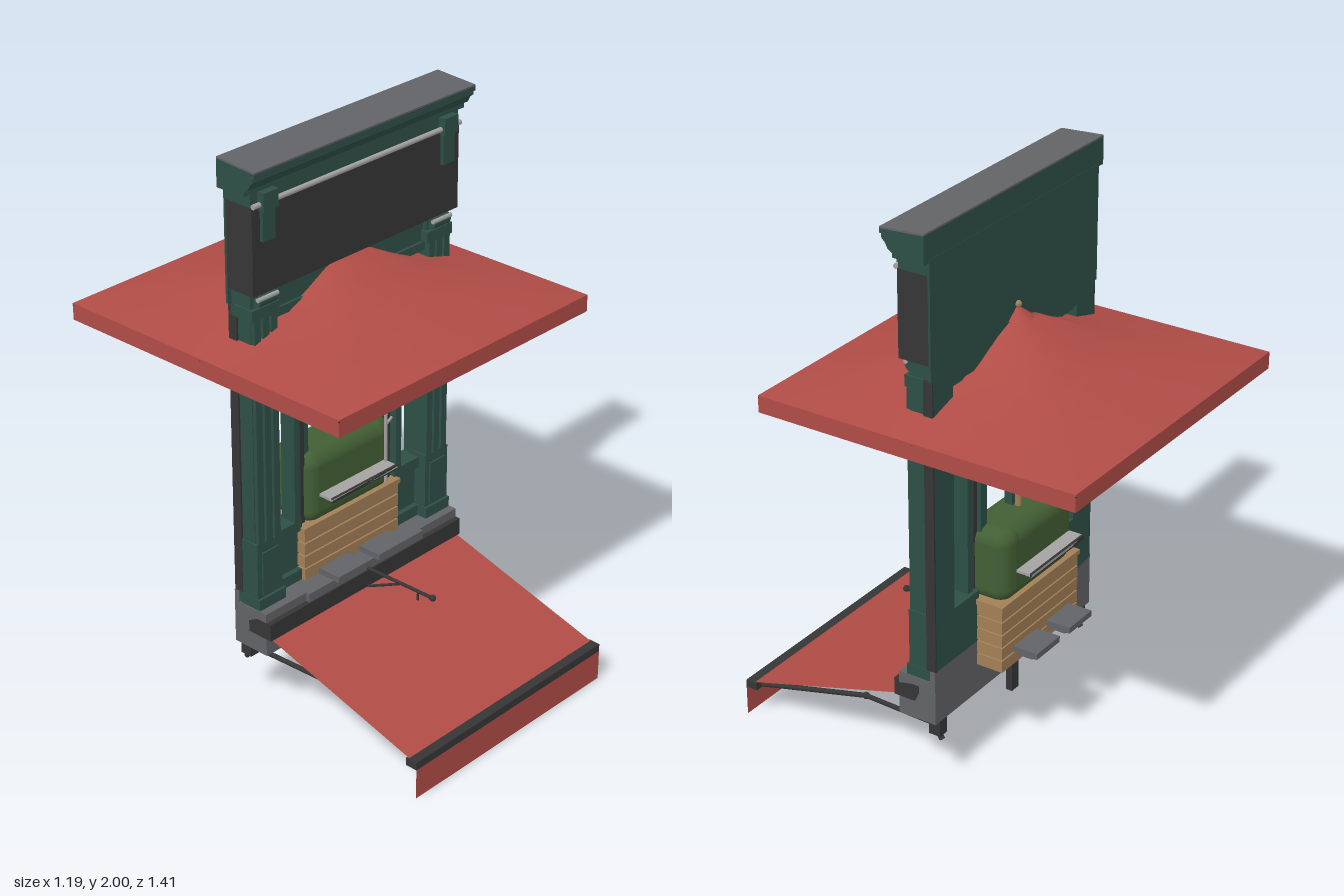
import * as THREE from 'three';
import { RoundedBoxGeometry } from 'three/addons/geometries/RoundedBoxGeometry.js';

const mat = (name, color, side = THREE.FrontSide) => {
  const m = new THREE.MeshStandardMaterial({ color, side });
  m.name = name;
  return m;
};

export function createModel() {
  const green = mat('painted green', 0x2e5046);
  const red = mat('red canvas', 0xb04c46, THREE.DoubleSide);
  const dark = mat('dark metal', 0x363636);
  const grey = mat('stone grey', 0x626366);
  const tan = mat('wood', 0xa27f57);
  const moss = mat('moss green', 0x425f34);
  const light = mat('pale metal', 0xa5a2a2);

  const model = new THREE.Group();
  const CZ = -0.11; // depth of the umbrella pole
  const V = (x, y, z) => new THREE.Vector3(x, y, z);

  const add = (name, geo, m, parent = model) => {
    const mesh = new THREE.Mesh(geo, m);
    mesh.name = name;
    parent.add(mesh);
    return mesh;
  };
  // box from its limits
  const box = (name, m, x0, x1, y0, y1, z0, z1) => {
    const g = new THREE.BoxGeometry(x1 - x0, y1 - y0, z1 - z0);
    g.translate((x0 + x1) / 2, (y0 + y1) / 2, (z0 + z1) / 2);
    return add(name, g, m);
  };
  const pair = (name, m, x0, x1, ...r) => {
    box(name + 'Left', m, x0, x1, ...r);
    box(name + 'Right', m, -x1, -x0, ...r);
  };
  // round bar between two points
  const bar = (name, m, a, b, r, sides = 8) => {
    const mesh = add(name, new THREE.CylinderGeometry(r, r, a.distanceTo(b), sides), m);
    mesh.position.copy(a).add(b).multiplyScalar(0.5);
    mesh.quaternion.setFromUnitVectors(V(0, 1, 0), b.clone().sub(a).normalize());
    return mesh;
  };

  // base
  box('base', grey, -0.475, 0.475, 0.25, 0.41, -0.105, 0.04);
  box('baseBack', grey, -0.475, 0.475, 0.41, 0.45, -0.105, -0.085);
  pair('baseFoot', dark, 0.41, 0.45, 0.19, 0.25, -0.105, -0.06);
  box('middleFoot', dark, -0.02, 0.02, 0.14, 0.25, -0.105, -0.08);

  // lower wall panels
  pair('lowerWall', green, 0.22, 0.47, 0.41, 0.64, -0.105, -0.05);
  pair('wallRail', green, 0.23, 0.36, 0.6, 0.64, -0.05, -0.03);
  pair('wallSkirt', green, 0.23, 0.36, 0.41, 0.45, -0.05, -0.03);

  // side columns with fluted fronts, pedestals and scroll capitals
  pair('column', green, 0.36, 0.465, 0.41, 1.555, -0.075, -0.015);
  pair('columnBack', green, 0.36, 0.465, 0.45, 1.555, -0.105, -0.075);
  pair('columnEdge', dark, 0.465, 0.472, 0.45, 1.5, -0.105, -0.07);
  for (const x of [0.36, 0.397, 0.435])
    pair('columnFillet', green, x, x + 0.027, 0.65, 1.46, -0.015, 0);
  pair('pedestal', green, 0.355, 0.47, 0.41, 0.655, -0.08, 0);
  pair('pedestalPanel', green, 0.375, 0.45, 0.46, 0.62, 0, 0.006);
  pair('pedestalFoot', green, 0.35, 0.472, 0.41, 0.45, -0.08, 0.01);
  pair('capital', green, 0.35, 0.472, 1.46, 1.5, -0.105, 0);
  for (const s of [-1, 1]) {
    bar('scroll', green, V(s * 0.37, 1.525, -0.01), V(s * 0.45, 1.525, -0.01), 0.024, 16);
    bar('scrollPin', light, V(s * 0.365, 1.535, 0.008), V(s * 0.455, 1.535, 0.008), 0.008);
  }

  // lintel and window frame
  box('lintel', green, -0.465, 0.465, 1.45, 1.555, -0.105, -0.03);
  box('lintelMoulding', green, -0.36, 0.36, 1.43, 1.46, -0.09, -0.02);
  pair('windowPost', green, 0.235, 0.262, 0.6, 1.46, -0.09, -0.03);
  pair('windowGuide', dark, 0.2, 0.22, 0.6, 1.46, -0.085, -0.045);
  pair('doorPost', green, 0.165, 0.2, 0.6, 1.46, -0.1, -0.06);
  box('doorHead', green, -0.2, 0.2, 1.38, 1.43, -0.1, -0.06);
  box('mullion', green, -0.016, 0.016, 0.84, 1.46, -0.1, -0.07);

  // fascia box, backing wall and cornice
  box('fascia', dark, -0.48, 0.48, 1.555, 1.855, -0.098, 0.015);
  box('backWall', green, -0.48, 0.48, 1.5, 1.91, -0.106, -0.097);
  box('frieze', green, -0.48, 0.48, 1.855, 1.91, -0.1, 0.01);
  bar('lightStrip', light, V(-0.48, 1.86, 0.02), V(0.48, 1.86, 0.02), 0.009);
  pair('corniceBracket', green, 0.385, 0.45, 1.84, 1.9, 0, 0.038);
  pair('corniceBracketDrop', green, 0.39, 0.445, 1.735, 1.84, 0, 0.028);
  const profile = new THREE.Shape([
    [-0.105, 1.9], [0.012, 1.9], [0.012, 1.915], [0.028, 1.925], [0.038, 1.945],
    [0.05, 1.955], [0.05, 1.97], [0.058, 1.97], [0.058, 1.985], [-0.105, 1.995],
  ].map(p => new THREE.Vector2(-p[0], p[1])));
  const cornice = new THREE.ExtrudeGeometry(profile, { depth: 1.016, bevelEnabled: false });
  cornice.translate(0, 0, -0.508).rotateY(Math.PI / 2);
  add('cornice', cornice, green);
  const cap = box('roofCap', grey, -0.508, 0.508, -0.003, 0.003, -0.0815, 0.0815);
  cap.position.set(0, 1.993, -0.0235);
  cap.rotation.x = Math.atan(0.01 / 0.163);

  // square umbrella: concentric rings, then a hanging valance
  const rings = [[0, 1.55], [0.05, 1.54], [0.11, 1.518], [0.2, 1.47], [0.3, 1.425], [0.45, 1.382], [0.595, 1.345]];
  const square = [[1, 0], [1, 1], [0, 1], [-1, 1], [-1, 0], [-1, -1], [0, -1], [1, -1]];
  const loft = loops => {
    const pos = [], idx = [];
    loops.forEach(([d, y]) => square.forEach(([x, z]) => pos.push(x * d, y, z * d)));
    for (let i = 0; i < loops.length - 1; i++)
      for (let j = 0; j < 8; j++) {
        const a = i * 8 + j, b = i * 8 + (j + 1) % 8;
        // the diagonal of each quad starts on the corner rib
        if (j % 2) idx.push(a, b, a + 8, b, b + 8, a + 8);
        else idx.push(a, b, b + 8, a, b + 8, a + 8);
      }
    const g = new THREE.BufferGeometry();
    g.setAttribute('position', new THREE.Float32BufferAttribute(pos, 3));
    for (let k = 0; k < idx.length; k += 3) [idx[k + 1], idx[k + 2]] = [idx[k + 2], idx[k + 1]];
    g.setIndex(idx);
    g.computeVertexNormals();
    return g;
  };
  // outward winding: rings run from x towards z, so faces are flipped inside loft
  const flip = g => {
    const a = g.index.array;
    for (let k = 0; k < a.length; k += 3) [a[k + 1], a[k + 2]] = [a[k + 2], a[k + 1]];
    g.computeVertexNormals();
    return g;
  };
  add('canopy', flip(loft(rings)), red).position.z = CZ;
  const valance = flip(loft([[0.595, 1.345], [0.595, 1.285]])).toNonIndexed();
  valance.computeVertexNormals();
  add('canopyValance', valance, red).position.z = CZ;
  add('canopyCap', new THREE.ConeGeometry(0.052, 0.04, 24), red).position.set(0, 1.565, CZ);
  add('finial', new THREE.SphereGeometry(0.012, 12, 8), tan).position.set(0, 1.59, CZ);
  bar('umbrellaPole', tan, V(0, 0.84, CZ - 0.004), V(0, 1.55, CZ - 0.004), 0.012, 12);
  bar('runner', tan, V(0, 1.185, CZ), V(0, 1.235, CZ), 0.018, 12);
  for (const [x, z] of square) {
    const at = ([d, y]) => V(x * d, y - 0.008, z * d + CZ);
    for (let i = 1; i < rings.length - 1; i++) bar('rib', dark, at(rings[i]), at(rings[i + 1]), 0.003, 5);
    bar('strut', dark, V(0, 1.21, CZ), at([0.27, 1.42]), 0.003, 5);
  }

  // slatted crate holding the rounded chest
  box('crate', tan, -0.225, 0.225, 0.36, 0.6, -0.198, -0.022);
  for (let i = 0; i < 5; i++) {
    const y = 0.36 + i * 0.049;
    box('crateSlat', tan, -0.232, 0.232, y, y + 0.043, -0.205, -0.015);
  }
  box('crateRim', tan, -0.238, 0.238, 0.595, 0.612, -0.21, -0.01);
  add('chest', new RoundedBoxGeometry(0.425, 0.27, 0.19, 5, 0.055), moss).position.set(0.002, 0.73, CZ);
  add('chestRidge', new RoundedBoxGeometry(0.1, 0.264, 0.194, 4, 0.05), moss).position.set(0.15, 0.733, CZ);

  // trays and step slabs on both faces
  for (const s of [1, -1]) {
    const span = (a, b) => [CZ + Math.min(s * a, s * b), CZ + Math.max(s * a, s * b)];
    box('tray', light, -0.165, 0.155, 0.71, 0.72, ...span(0.1, 0.16));
    box('trayLip', dark, -0.165, 0.155, 0.705, 0.722, ...span(0.152, 0.16));
    for (const x of [-0.1, 0.1]) {
      const slab = box('stepSlab', grey, x - 0.07, x + 0.07, 0.412, 0.434, ...span(0.1, 0.192));
      slab.name = 'stepSlab';
      box('slabSupport', grey, x - 0.04, x + 0.04, 0.385, 0.412, ...span(0.09, 0.155));
    }
  }
  box('frontStep', grey, -0.285, 0.285, 0.375, 0.41, 0.04, 0.055);

  // pale hanging rod
  bar('rod', light, V(0.15, 0.64, 0), V(0.15, 1.24, 0), 0.006);
  bar('rodHook', light, V(0.15, 0.86, 0), V(0.2, 0.86, -0.02), 0.005);

  // lower awning: case, sloping cloth, front bar and valance
  box('awningCase', dark, -0.475, 0.475, 0.315, 0.378, -0.04, 0.06);
  const cloth = new THREE.PlaneGeometry(0.93, Math.hypot(0.62, 0.18));
  const sheet = add('awningCloth', cloth, red);
  sheet.position.set(0, 0.225, 0.365);
  sheet.rotation.x = -Math.PI / 2 + Math.atan2(0.18, 0.62);
  box('awningBar', dark, -0.47, 0.47, 0.11, 0.138, 0.655, 0.7);
  const drop = add('awningValance', new THREE.PlaneGeometry(0.94, 0.12), red);
  drop.position.set(0, 0.06, 0.7);

  // folding arms
  for (const s of [1, -1]) {
    const a = V(s * 0.43, 0.22, -0.07), b = V(s * 0.34, 0.155, 0.28), c = V(s * 0.44, 0.12, 0.66);
    bar('innerArm', dark, a, b, 0.009);
    bar('outerArm', dark, b, c, 0.009);
    add('elbow', new THREE.SphereGeometry(0.013, 10, 8), dark).position.copy(b);
    bar('armMount', dark, V(s * 0.43, 0.27, -0.03), V(s * 0.43, 0.17, -0.1), 0.01);
  }

  // crank handle
  bar('crankShaft', dark, V(0, 0.385, 0.03), V(0, 0.39, 0.35), 0.006);
  bar('crankBrace', dark, V(0, 0.31, 0.05), V(0, 0.382, 0.2), 0.005);
  bar('crankPin', dark, V(0, 0.355, 0.285), V(0, 0.39, 0.285), 0.004);
  add('crankKnob', new THREE.SphereGeometry(0.012, 10, 8), dark).position.set(0, 0.39, 0.35);

  return model;
}
